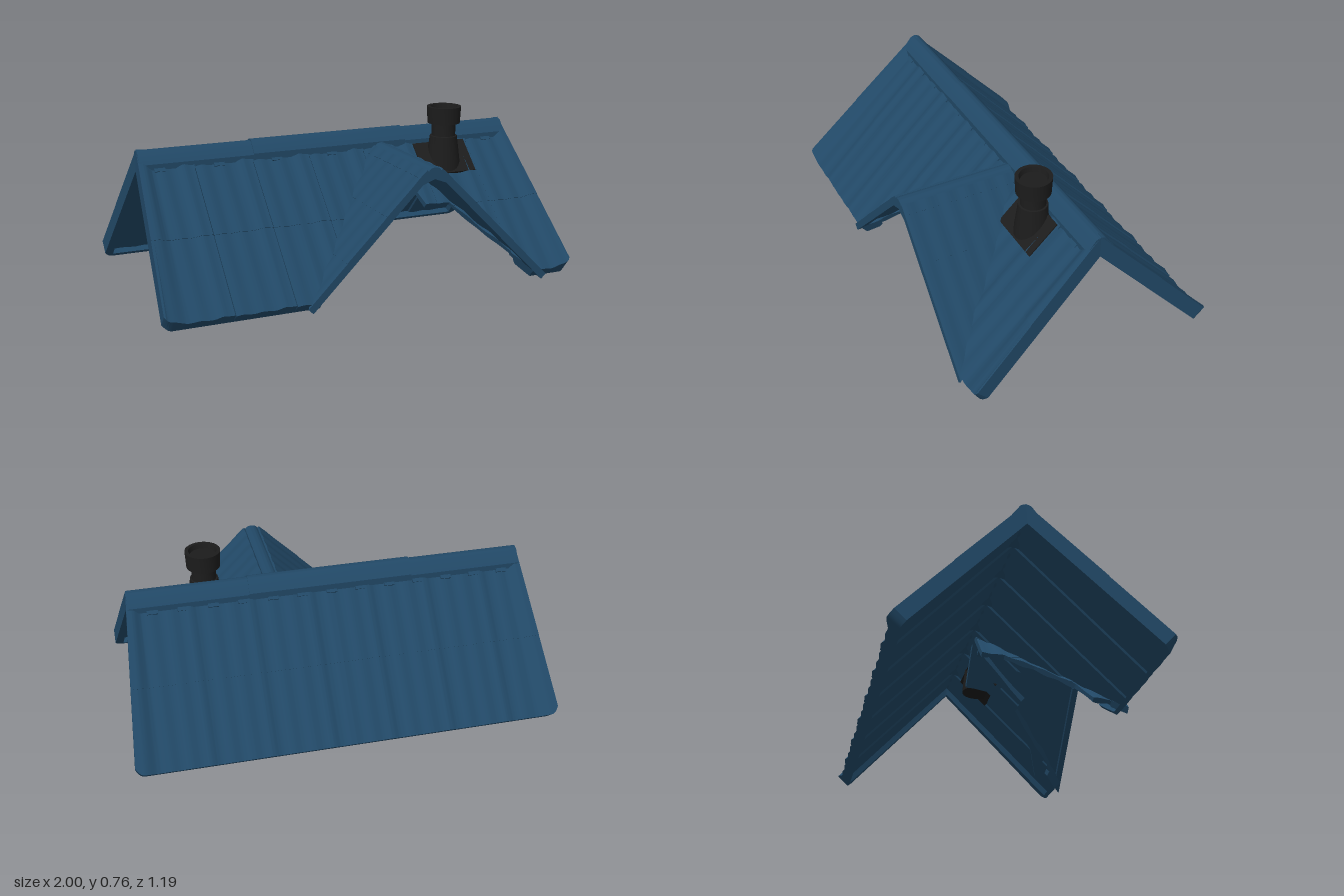
import * as THREE from 'three';
import { toCreasedNormals } from 'three/addons/utils/BufferGeometryUtils.js';

const tileBlue = new THREE.MeshStandardMaterial({ color: 0x214866 });
tileBlue.name = 'tile blue';
const sootBlack = new THREE.MeshStandardMaterial({ color: 0x1c1c1c });
sootBlack.name = 'soot black';

function addMesh(parent, name, geometry, material, crease = 0.5) {
  const mesh = new THREE.Mesh(toCreasedNormals(geometry, crease), material);
  mesh.name = name;
  parent.add(mesh);
  return mesh;
}

// Closed solid from equal-length loops of points, one per column
function loft(loops) {
  const n = loops[0].length, pos = [], tris = [];
  loops.forEach((loop) => loop.forEach((p) => pos.push(p.x, p.y, p.z)));
  for (let i = 0; i < loops.length - 1; i++) {
    for (let j = 0; j < n; j++) {
      const k = (j + 1) % n, a = i * n + j, b = i * n + k;
      tris.push([a, b, a + n], [b, b + n, a + n]);
    }
  }
  [0, loops.length - 1].forEach((i) => {
    const c = new THREE.Vector3();
    loops[i].forEach((p) => c.addScaledVector(p, 1 / n));
    const ci = pos.length / 3;
    pos.push(c.x, c.y, c.z);
    for (let j = 0; j < n; j++) {
      const a = i * n + j, b = i * n + (j + 1) % n;
      tris.push(i === 0 ? [ci, b, a] : [ci, a, b]);
    }
  });
  // Turn the faces outward whichever way the columns run
  const at = (i) => new THREE.Vector3().fromArray(pos, i * 3);
  let volume = 0;
  tris.forEach(([a, b, c]) => { volume += at(a).dot(at(b).cross(at(c))); });
  if (volume < 0) tris.forEach((t) => t.reverse());
  const g = new THREE.BufferGeometry();
  g.setAttribute('position', new THREE.Float32BufferAttribute(pos, 3));
  g.setIndex(tris.flat());
  return g;
}

// Thin tiled sheet: u along the ridge, v down the slope, n out of it.
// Columns that reach the eave end in a lip hanging below the sheet.
function tiledSlab({ u0, u1, columns, start, end, rows, top, bottom, lip, place }) {
  const loops = [];
  for (let i = 0; i <= columns; i++) {
    const u = u0 + (u1 - u0) * i / columns;
    const e = end(u), t = top(u), b = bottom(u), low = e > 0.79 ? lip : b;
    const loop = [[start, t]];
    rows.forEach((r) => {
      const v = Math.min(r, e);
      loop.push([v, t + (r < e ? 0.002 : 0)], [v, t]);
    });
    loop.push([e, t], [e, low], [e - 0.02, low], [e - 0.022, b], [start, b]);
    loops.push(loop.map(([v, n]) => place(u, v, n)));
  }
  return loft(loops);
}

// Piecewise linear lookup through a few points
function lerpPoints(points, x) {
  for (let i = 1; i < points.length; i++) {
    const [a, ya] = points[i - 1], [b, yb] = points[i];
    if (x <= b) return ya + (yb - ya) * Math.max(0, (x - a) / (b - a));
  }
  return points[points.length - 1][1];
}

const PANEL = 0.28, RIDGE_Z = -0.02, RIDGE_Y = 0.66, GABLE_X = 0.25;
const SIN = 0.691, COS = 0.7225; // front slope

// Overlapping panels: a low rise, then a sharp drop on one side
const overlap = [[-0.06, 0], [-0.025, 0.008], [0.02, 0.008], [0.025, 0]];
const panelWave = (u) =>
  lerpPoints(overlap, ((((u + 0.15) / PANEL + 50.5) % 1) - 0.5) * PANEL) + 0.003 * Math.cos(u * 67.3);
const rim = (u) => THREE.MathUtils.smoothstep(Math.abs(u), 0.87, 0.92);
const mainTop = (u) => THREE.MathUtils.lerp(-0.02 + panelWave(u), 0, rim(u));
const mainBottom = (u) => Math.abs(u) > 0.91 ? -0.07 : -0.044 + panelWave(u) - 0.005 * Math.cos(u * 67.3);

function mainSlope(side, sin, cos, length, end) {
  return tiledSlab({
    u0: -0.94, u1: 0.94, columns: 376, start: 0, rows: [length * 0.54],
    top: mainTop, bottom: mainBottom, lip: -0.07,
    end: (u) => Math.min(end(u), length - 0.035 * Math.max(0, (Math.abs(u) - 0.915) / 0.025) ** 2),
    place: (u, v, n) => new THREE.Vector3(
      // edges flare outward toward the eaves
      u + Math.sign(u) * 0.06 * (v / length) * Math.max(0, (Math.abs(u) - 0.85) / 0.09),
      Math.max(0, RIDGE_Y - v * sin + n * cos),
      RIDGE_Z + side * Math.min(0.612, v * cos + n * sin)),
  });
}

// Opening under the gable: distance from its centre to lower edge height
const opening = [[0.05, 0.53], [0.12, 0.33], [0.25, 0.33], [0.58, 0], [0.61, -0.3]];
const frontEnd = (u) => (0.64 - lerpPoints(opening, Math.abs(u - GABLE_X))) / SIN;

// Lower edge of the gable tiles at each depth
const gableLow = [[0, 0.4], [0.11, 0.39], [0.24, 0.31], [0.4, 0.17], [0.45, 0.06], [0.53, 0.05], [0.595, 0]];

function gableSlope(side) {
  const s = Math.SQRT1_2;
  return tiledSlab({
    u0: 0, u1: 0.595, columns: 119, start: 0.05, rows: [0.1, 0.325, 0.594],
    top: (z) => -0.003 + 0.002 * Math.cos(z * 66),
    // the open front end is edged with a deeper rim
    bottom: (z) => z > 0.56 ? -0.036 : -0.026 - 0.003 * Math.cos(z * 66),
    lip: -0.036,
    end: (z) => (0.605 - lerpPoints(gableLow, z)) / s,
    place: (z, v, n) => new THREE.Vector3(
      GABLE_X + side * (0.005 + v * s + n * s), Math.max(0, 0.63 - v * s + n * s), z),
  });
}

// Rounded ridge cap running along +z, with its crown at the origin
function ridgeCap(length, half) {
  const p = new THREE.Shape();
  p.moveTo(-half, -0.085);
  p.lineTo(-half, -0.058);
  p.lineTo(-0.024, -0.008);
  p.quadraticCurveTo(0, 0.007, 0.024, -0.008);
  p.lineTo(half, -0.058);
  p.lineTo(half, -0.085);
  p.lineTo(0, -0.06);
  return new THREE.ExtrudeGeometry(p, { depth: length, bevelEnabled: false, curveSegments: 8 });
}

export function createModel() {
  const model = new THREE.Group();
  model.name = 'tiledRoof';

  // Main roof
  addMesh(model, 'frontSlope', mainSlope(1, SIN, COS, 0.87, frontEnd), tileBlue);
  addMesh(model, 'backSlope', mainSlope(-1, 0.728, 0.686, 0.835, () => 1), tileBlue);
  const cap = addMesh(model, 'mainRidgeCap', ridgeCap(1.88, 0.062), tileBlue);
  cap.rotation.y = Math.PI / 2;
  cap.position.set(-0.94, 0.657, RIDGE_Z);
  const middle = addMesh(model, 'middleRidgeCap', ridgeCap(0.78, 0.064), tileBlue);
  middle.rotation.y = Math.PI / 2;
  middle.position.set(-0.4, 0.663, RIDGE_Z);

  // Small tile lugs below the ridge cap
  for (let i = 0; i < 13; i++) {
    for (const side of [-1, 1]) {
      const lug = addMesh(model, 'ridgeLug', new THREE.BoxGeometry(0.05, 0.012, 0.035), tileBlue);
      lug.position.set(-0.85 + i * 0.14, 0.576, RIDGE_Z + side * 0.058);
      lug.rotation.x = side * 0.78;
    }
  }

  // Front gable
  for (const side of [-1, 1]) {
    addMesh(model, side > 0 ? 'leftGableSlope' : 'rightGableSlope', gableSlope(side), tileBlue);
  }
  const gableCap = addMesh(model, 'gableRidgeCap', ridgeCap(0.565, 0.06), tileBlue);
  gableCap.position.set(GABLE_X, 0.602, 0.03);
  gableCap.scale.y = 0.9;

  // Chimney with its sloping base plate
  const plate = addMesh(model, 'chimneyPlate', new THREE.BoxGeometry(0.28, 0.044, 0.185), sootBlack);
  const v = 0.198, n = -0.031;
  plate.position.set(0.56, RIDGE_Y - v * SIN + n * COS, RIDGE_Z + v * COS + n * SIN);
  plate.rotation.x = Math.asin(SIN);
  const profile = [[0, 0.435], [0.087, 0.435], [0.082, 0.5], [0.066, 0.62], [0.058, 0.622],
    [0.058, 0.684], [0.079, 0.684], [0.083, 0.765], [0.066, 0.765], [0.06, 0.742], [0, 0.742]];
  const chimney = addMesh(model, 'chimney', new THREE.LatheGeometry(
    profile.map(([r, y]) => new THREE.Vector2(r, y)), 28), sootBlack);
  chimney.position.set(0.565, 0, 0.093);

  return model;
}
